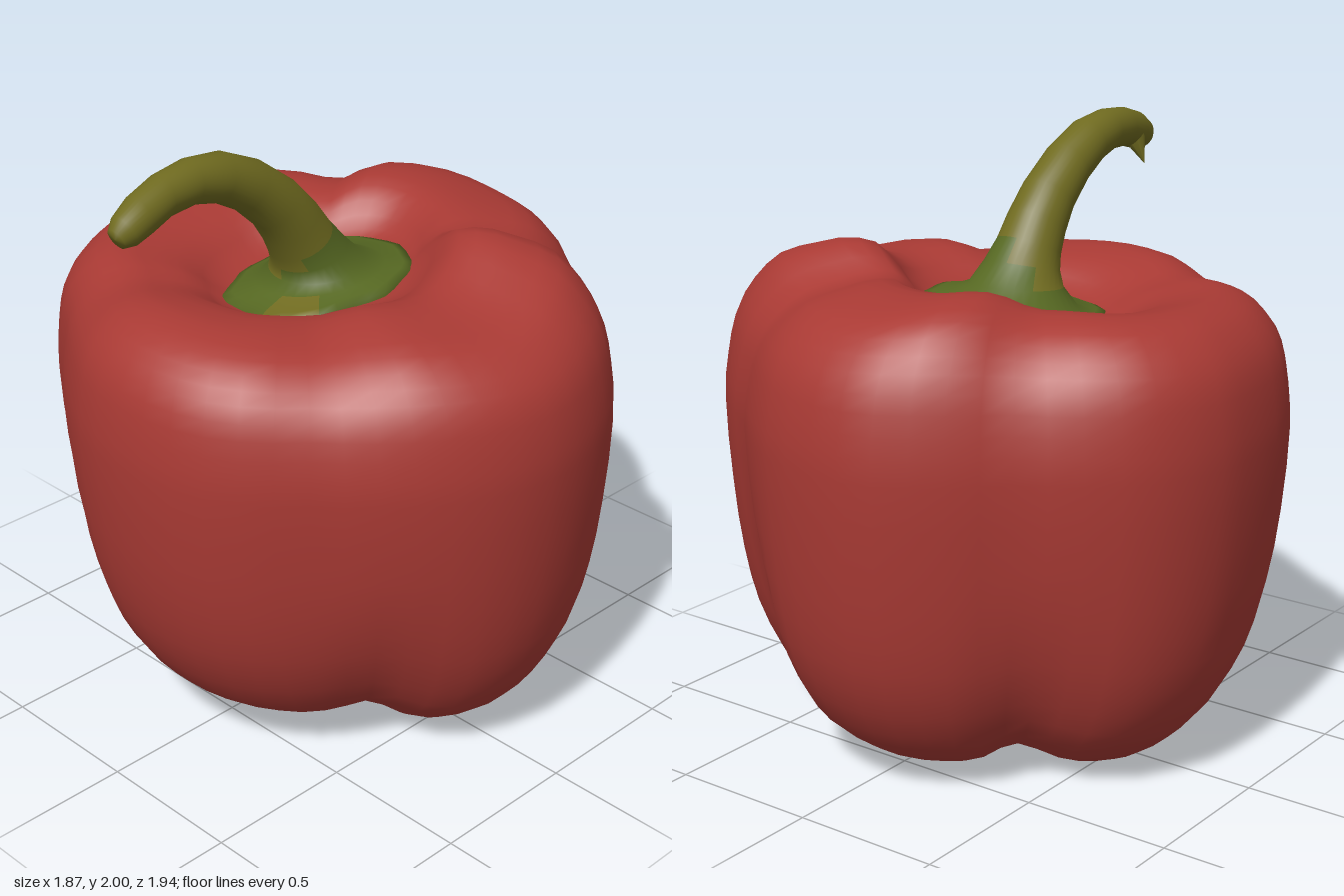
import * as THREE from 'three';

const red = new THREE.MeshStandardMaterial({ color: 0xa93a34 });
red.name = 'skin red';
const green = new THREE.MeshStandardMaterial({ color: 0x566822 });
green.name = 'calyx green';
const olive = new THREE.MeshStandardMaterial({ color: 0x706b20 });
olive.name = 'stem olive';

const TAU = Math.PI * 2;

// Smooth closed function of angle through evenly spaced values
function around(values) {
  const n = values.length;
  return (angle) => {
    const f = (((angle / TAU) % 1) + 1) % 1 * n;
    const i = Math.floor(f), t = f - i;
    const v = (k) => values[(i + k + n) % n];
    const [a, b, c, d] = [v(-1), v(0), v(1), v(2)];
    return b + 0.5 * t * (c - a + t * (2 * a - 5 * b + 4 * c - d + t * (3 * (b - c) + d - a)));
  };
}

// Skin closed rings of points; pick(ring, column) chooses the material slot of a quad
function loft(rings, pick = () => 0) {
  const n = rings[0].length, slots = [[], []];
  for (let i = 0; i < rings.length - 1; i++) {
    for (let j = 0; j < n; j++) {
      const a = i * n + j, b = i * n + (j + 1) % n;
      slots[pick(i, j)].push(a, a + n, b, b, a + n, b + n);
    }
  }
  const g = new THREE.BufferGeometry();
  g.setAttribute('position', new THREE.Float32BufferAttribute(rings.flat(2), 3));
  g.setIndex(slots.flat());
  g.addGroup(0, slots[0].length, 0);
  g.addGroup(slots[0].length, slots[1].length, 1);
  g.computeVertexNormals();
  return g;
}

// Widest outline of the fruit (x, z), resampled as radius by angle
const outline = [
  [0.93, 0.02], [0.89, 0.2], [0.77, 0.39], [0.64, 0.53], [0.55, 0.67], [0.41, 0.83], [0.17, 0.94],
  [-0.02, 0.97], [-0.23, 0.93], [-0.4, 0.84], [-0.55, 0.71], [-0.66, 0.58], [-0.79, 0.46], [-0.9, 0.28],
  [-0.94, 0.05], [-0.91, -0.2], [-0.82, -0.38], [-0.68, -0.58], [-0.55, -0.77], [-0.31, -0.92],
  [-0.05, -0.97], [0.17, -0.97], [0.41, -0.87], [0.57, -0.68], [0.65, -0.54], [0.81, -0.38], [0.93, -0.17],
].map(([x, z]) => ({ a: (Math.atan2(z, x) + TAU) % TAU, r: Math.hypot(x, z) })).sort((p, q) => p.a - q.a);

function outlineRadius(angle) {
  const n = outline.length;
  let k = outline.findIndex((p) => p.a > angle);
  if (k < 0) k = n;
  const p = outline[(k - 1 + n) % n], q = outline[k % n];
  const span = (q.a - p.a + TAU) % TAU;
  return p.r + (q.r - p.r) * (((angle - p.a + TAU) % TAU) / span);
}

// Lobe heights at the shoulder and the foot, every 30 degrees from +x towards +z
const shoulder = around([0.01, 0.01, 0.07, -0.035, -0.02, -0.04, -0.03, -0.05, -0.045, -0.03, -0.01, 0.045]);
const foot = around([0.01, 0.015, -0.01, -0.015, 0.02, 0.05, 0.045, 0.04, 0, -0.035, 0.005, 0.01]);

// Creases between the lobes, in degrees with strength, at the foot and the shoulder
const footCreases = [[37, 0.09], [125, 0.08], [217, 0.08], [313, 0.08]];
const shoulderCreases = [[38, 0.06], [135, 0.06], [211, 0.03], [318, 0.07]];
function crease(angle, list) {
  return list.reduce((sum, [deg, k]) => {
    let d = Math.abs(angle - deg * TAU / 360);
    d = Math.min(d, TAU - d);
    return sum + k * Math.exp(-((d / 0.19) ** 2));
  }, 0);
}

// Profile: scale, height, lobe weight (negative = foot, positive = shoulder)
const profile = new THREE.CatmullRomCurve3([
  [0, 0.16, 0], [0.12, 0.14, -0.2], [0.25, 0.09, -0.6], [0.4, 0.045, -1], [0.55, 0.045, -1],
  [0.66, 0.095, -1], [0.78, 0.195, -0.9], [0.88, 0.36, -0.7], [0.94, 0.55, -0.4], [0.98, 0.8, -0.1],
  [1, 1.1, 0], [0.985, 1.25, 0.1], [0.955, 1.37, 0.3], [0.89, 1.465, 0.6], [0.79, 1.535, 0.9],
  [0.66, 1.56, 1], [0.53, 1.55, 0.9], [0.42, 1.49, 0.45], [0.33, 1.43, 0.1], [0.18, 1.41, 0], [0, 1.41, 0],
].map((p) => new THREE.Vector3(...p)));

// The hollow around the stem sits towards the back right and falls that way
const hollowRise = (x, z) => 0.57 * x + 0.82 * z;

function bodyGeometry() {
  const rings = [], columns = 54, rows = 42;
  for (let i = 0; i <= rows; i++) {
    const { x: s, y, z: w } = profile.getPoint(i / rows);
    const top = y > 1.2;
    const slope = top ? 0.26 * Math.max(0, 1 - s / 0.7) : 0;
    const shift = top ? 0.06 * Math.min(1, Math.max(0, 1 - s) * 2.5) : 0;
    const ring = [];
    for (let j = 0; j < columns; j++) {
      const a = j / columns * TAU;
      const dent = Math.abs(w) * crease(a, w < 0 ? footCreases : shoulderCreases);
      const r = Math.max(s, 0) * outlineRadius(a) * (1 - dent);
      const x = r * Math.cos(a), z = r * Math.sin(a);
      const lift = w > 0 ? w * shoulder(a) - 0.6 * dent : -w * foot(a) + 0.5 * dent;
      const lean = w < 0 ? -0.02 * w : 0;
      ring.push([x + lean - 0.57 * shift, y + lift + slope * hollowRise(x, z), z - 0.82 * shift]);
    }
    rings.push(ring);
  }
  return loft(rings);
}

// Stem sections: x, y, z, radius, tilt towards -x; the first few form the calyx
const sections = [
  [-0.03, 1.395, -0.05, 0.3, 0], [-0.03, 1.437, -0.05, 0.3, 0], [-0.03, 1.447, -0.05, 0.27, 0],
  [-0.035, 1.46, -0.045, 0.21, 0], [-0.06, 1.5, -0.035, 0.155, 0.1], [-0.1, 1.555, -0.03, 0.125, 0.25],
  [-0.14, 1.61, -0.028, 0.108, 0.45], [-0.185, 1.68, -0.026, 0.1, 0.6], [-0.25, 1.76, -0.025, 0.092, 0.75],
  [-0.36, 1.85, -0.025, 0.084, 1.0], [-0.48, 1.91, -0.022, 0.078, 1.25], [-0.6, 1.932, -0.015, 0.07, 1.5],
  [-0.72, 1.925, 0, 0.066, 1.65], [-0.82, 1.9, 0.02, 0.064, 1.85], [-0.89, 1.875, 0.035, 0.054, 2.0],
  [-0.925, 1.862, 0.04, 0.035, 2.0], [-0.93, 1.86, 0.04, 0, 2.0],
];
const calyxShape = around([1.03, 1, 0.96, 0.95, 0.96, 1.14, 1.03, 1.06, 0.95, 0.94, 0.97, 1.08]);

// Green reaches highest on the +z side; an olive patch lies on the calyx rim
function stemColour(i, j, columns) {
  const a = (j + 0.5) / columns * TAU;
  const patch = i < 3 && Math.abs(a - 2.65) < 0.25;
  return !patch && i < 4.6 + 1.4 * Math.cos(a - 1.1) ? 0 : 1;
}

function stemGeometry() {
  const columns = 32;
  const rings = sections.map(([x, y, z, r, tilt], i) => {
    const ring = [];
    for (let j = 0; j < columns; j++) {
      const a = j / columns * TAU;
      // ragged calyx edge, sloping with the hollow
      const ragged = i < 3 ? calyxShape(a) + 0.02 * Math.sin(9 * a) : 1;
      const u = r * ragged * Math.cos(a), v = r * ragged * Math.sin(a);
      const rise = i < 4 ? 0.15 * hollowRise(u, v) : 0;
      ring.push([x + u * Math.cos(tilt), y + u * Math.sin(tilt) + rise, z + v]);
    }
    return ring;
  });
  return loft(rings, (i, j) => stemColour(i, j, columns));
}

export function createModel() {
  const model = new THREE.Group();
  model.name = 'bell pepper';

  const body = new THREE.Mesh(bodyGeometry(), red);
  body.name = 'body';

  const stem = new THREE.Mesh(stemGeometry(), [green, olive]);
  stem.name = 'stemAndCalyx';

  // small torn nub below the tip
  const nub = new THREE.Mesh(new THREE.ConeGeometry(0.045, 0.11, 8), olive);
  nub.name = 'stemNub';
  nub.position.set(-0.775, 1.845, -0.035);
  nub.rotation.x = Math.PI + 0.45;

  model.add(body, stem, nub);
  return model;
}
